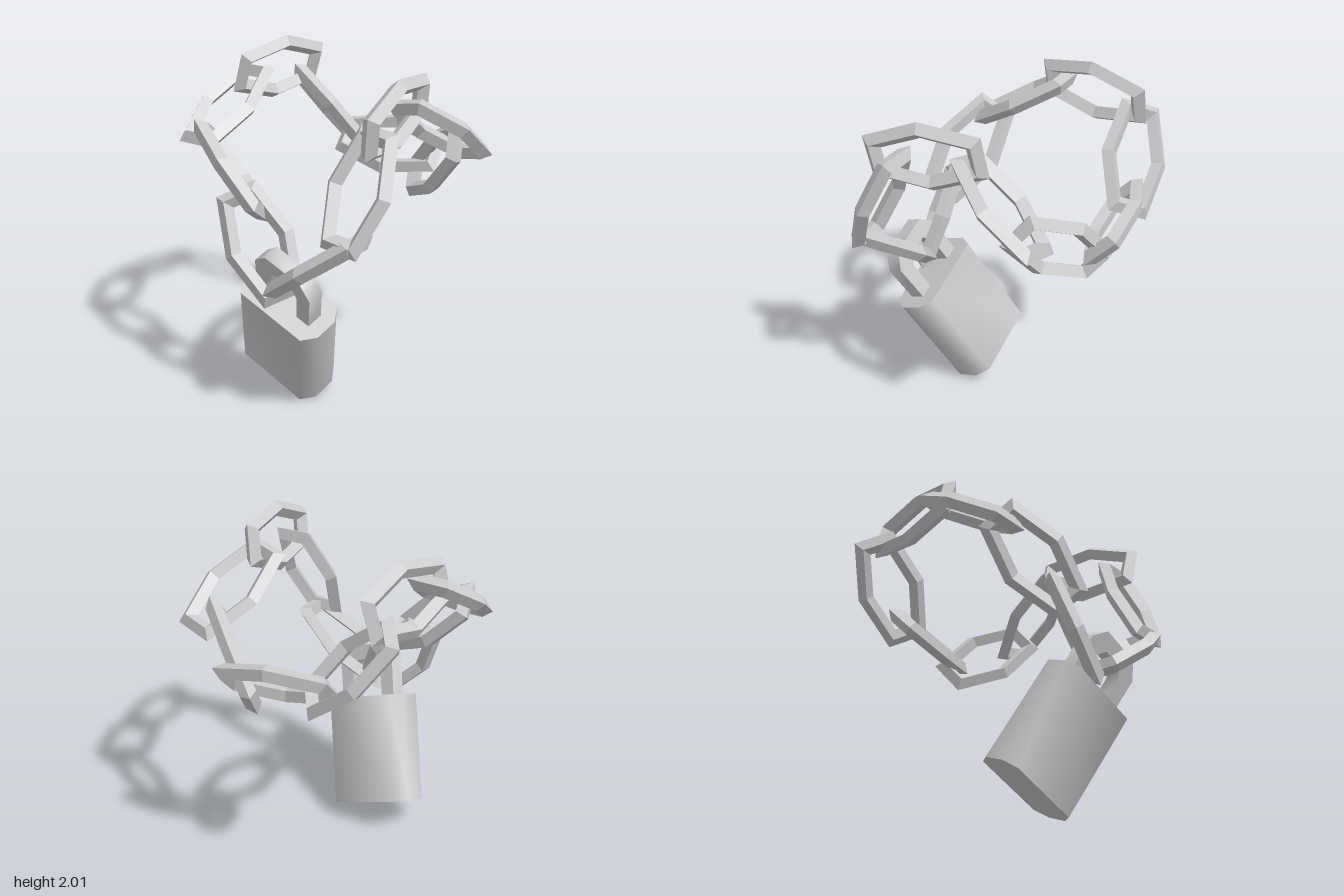
import * as THREE from 'three';
import { toCreasedNormals } from 'three/addons/utils/BufferGeometryUtils.js';

const V = (a) => new THREE.Vector3(...a);

// Six-sided chain link with a diamond-shaped bar, long axis x, width axis y
function linkGeometry() {
  const outer = [[0.34, 0.122], [0, 0.21], [-0.34, 0.122]];
  const inner = [[0.245, 0.052], [0, 0.115], [-0.245, 0.052]];
  const ring = (half) => [...half, ...half.map(([x, y]) => [-x, -y])];
  const out = ring(outer), inn = ring(inner);
  const pos = [], index = [];
  for (let i = 0; i < 6; i++) {
    const [ox, oy] = out[i], [ix, iy] = inn[i];
    const mx = (ox + ix) / 2, my = (oy + iy) / 2;
    pos.push(ox, oy, 0, mx, my, 0.048, ix, iy, 0, mx, my, -0.048);
    for (let k = 0; k < 4; k++) {
      const j = (i + 1) % 6, l = (k + 1) % 4;
      const a = i * 4 + k, b = j * 4 + k, c = j * 4 + l, d = i * 4 + l;
      index.push(a, b, c, a, c, d);
    }
  }
  const g = new THREE.BufferGeometry();
  g.setAttribute('position', new THREE.Float32BufferAttribute(pos, 3));
  g.setIndex(index);
  const flat = g.toNonIndexed();
  flat.computeVertexNormals();
  return flat;
}

// Orient an object: x along dir, y as close to side as possible
function orient(obj, center, dir, side) {
  const x = V(dir).normalize();
  const y = V(side);
  y.addScaledVector(x, -y.dot(x)).normalize();
  const z = new THREE.Vector3().crossVectors(x, y);
  obj.quaternion.setFromRotationMatrix(new THREE.Matrix4().makeBasis(x, y, z));
  obj.position.set(...center);
}

// Polygon from one half of a mirrored outline
function mirrored(half) {
  return [...half, ...half.map(([x, y]) => [-x, y]).reverse()].map(([x, y]) => new THREE.Vector2(x, y));
}

// Links in order round the chain: center, long direction, width direction
const LINKS = [
  [[0.36, 1.01, 0.585], [0.54, 0.4, -0.03], [0, 0, 1]],
  [[0.58, 1.46, 0.51], [0.05, 0.58, -0.27], [1, 0.08, 0]],
  [[0.59, 1.79, 0.2], [-0.085, 0.09, -0.62], [0.05, 0.33, 0.03]],
  [[0.585, 1.61, -0.25], [0.16, -0.38, -0.52], [0.34, 0.07, 0.05]],
  [[0.4, 1.33, -0.49], [-0.44, -0.35, -0.25], [-0.14, 0.27, -0.25]],
  [[-0.01, 1.33, -0.63], [-0.6, 0.04, 0.11], [0, 0.23, -0.23]],
  [[-0.43, 1.51, -0.56], [-0.4, 0.42, 0.12], [0.2, 0.11, 0.23]],
  [[-0.57, 1.81, -0.235], [-0.07, 0.03, 0.6], [0.1, 0.34, 0]],
  [[-0.58, 1.67, 0.225], [0.01, -0.33, 0.55], [1, 0, 0]],
  [[-0.33, 1.38, 0.48], [0.47, -0.35, 0.1], [0.08, 0.2, 0.28]],
  [[-0.07, 1.02, 0.55], [0.32, -0.47, 0.04], [0.29, 0.1, -0.21]],
];

export function createModel() {
  const model = new THREE.Group();
  const metal = new THREE.MeshStandardMaterial({ color: 0xcccccc });
  const linkMetal = new THREE.MeshStandardMaterial({ color: 0xcccccc, flatShading: true });

  // Chain
  const chain = new THREE.Group();
  chain.name = 'chain';
  const geo = linkGeometry();
  LINKS.forEach(([center, dir, side], i) => {
    const link = new THREE.Mesh(geo, linkMetal);
    link.name = `chainLink${i + 1}`;
    orient(link, center, dir, side);
    chain.add(link);
  });
  model.add(chain);

  // Padlock, origin at the middle of the body's top face
  const padlock = new THREE.Group();
  padlock.name = 'padlock';
  orient(padlock, [0.095, 0.705, 0.505], [0.933, -0.36, 0], [0.331, 0.858, 0.392]);

  // Body: chamfered block with softly shaded walls
  const bodyShape = new THREE.Shape(mirrored([[0.23, -0.15], [0.287, -0.07], [0.287, 0.07], [0.23, 0.15]]));
  const bodyGeo = new THREE.ExtrudeGeometry(bodyShape, { depth: 0.664, bevelEnabled: false });
  bodyGeo.rotateX(Math.PI / 2);
  const body = new THREE.Mesh(toCreasedNormals(bodyGeo, 1.1), metal);
  body.name = 'lockBody';
  padlock.add(body);

  // Shackle: angular arch sunk slightly into the body
  const arch = mirrored([[0.11, -0.03], [0.2, -0.03], [0.205, 0.24], [0.13, 0.335]]);
  const hollow = mirrored([[0.11, -0.03], [0.11, 0.18], [0.065, 0.24]]).reverse();
  // Outer run from right foot to left foot, then back along the inside
  const shackleShape = new THREE.Shape([...arch, ...hollow.slice(1, -1)]);
  const shackleGeo = new THREE.ExtrudeGeometry(shackleShape, { depth: 0.1, bevelEnabled: false });
  shackleGeo.translate(0, 0, -0.05);
  const shackle = new THREE.Mesh(toCreasedNormals(shackleGeo, 1.0), metal);
  shackle.name = 'shackle';
  padlock.add(shackle);

  model.add(padlock);
  return model;
}
